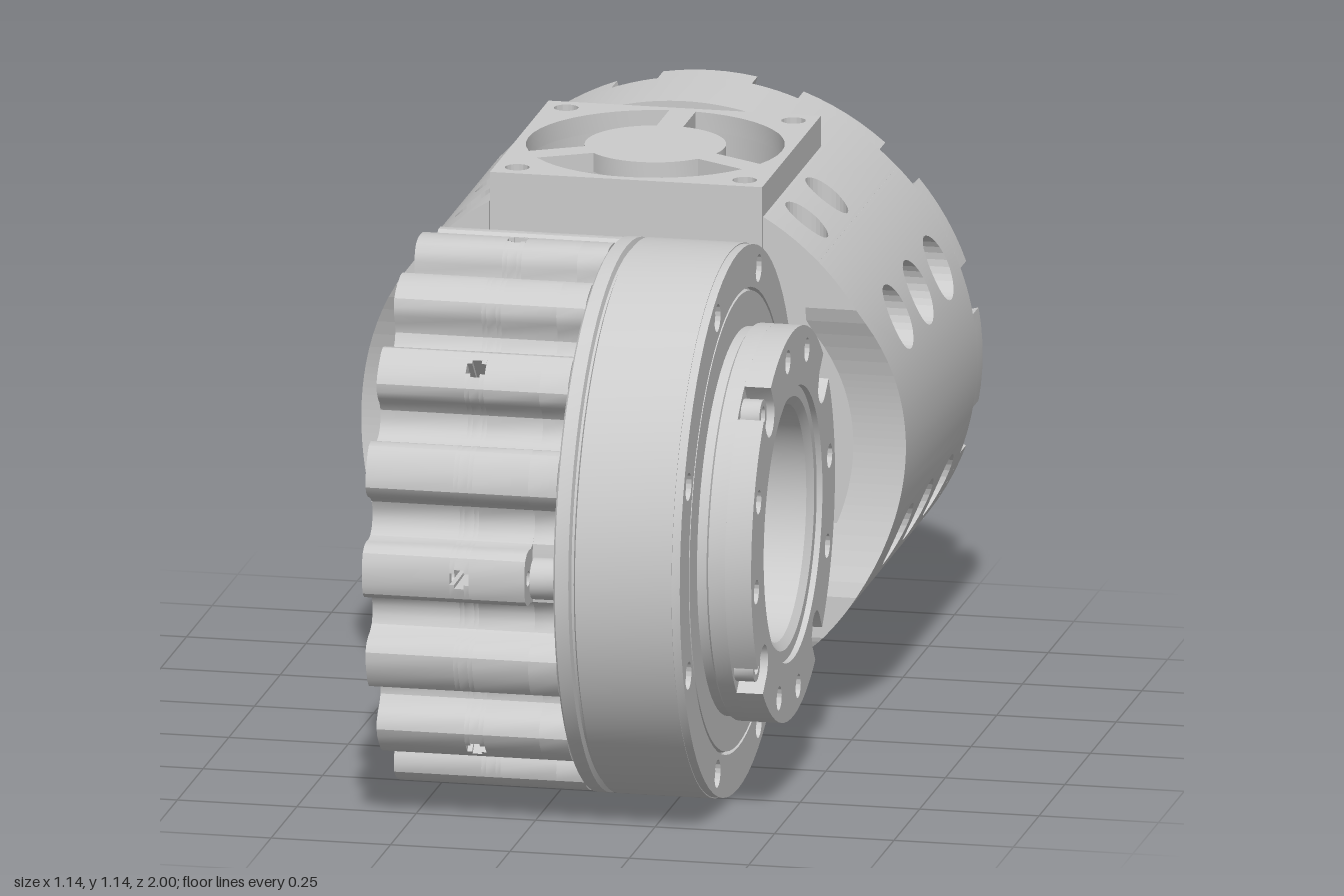
import * as THREE from 'three';
import { mergeGeometries, toCreasedNormals } from 'three/addons/utils/BufferGeometryUtils.js';

const mat = new THREE.MeshStandardMaterial({ color: 0xcccccc, side: THREE.DoubleSide });
const rad = THREE.MathUtils.degToRad;
const polar = (r, deg) => new THREE.Vector2(r * Math.cos(rad(deg)), r * Math.sin(rad(deg)));

function add(parent, name, geo) {
  const m = new THREE.Mesh(geo, mat);
  m.name = name;
  parent.add(m);
  return m;
}
const creased = (geo) => toCreasedNormals(geo, 0.5);

// Solid of revolution about local z; points are [radius, z]
function turned(pts, seg = 72) {
  const g = new THREE.LatheGeometry(pts.map(p => new THREE.Vector2(...p)), seg);
  return creased(g.rotateX(Math.PI / 2));
}
function plate(shape, z0, z1) {
  const g = new THREE.ExtrudeGeometry(shape, { depth: z1 - z0, bevelEnabled: false, curveSegments: 36 });
  return creased(g.translate(0, 0, z0));
}
function hole(shape, x, y, r) {
  shape.holes.push(new THREE.Path().absarc(x, y, r, 0, Math.PI * 2, true));
}
// Socket-head screws on a circle
function screws(parent, name, count, start, circle, r, z, h) {
  for (let i = 0; i < count; i++) {
    const p = polar(circle, start + i * 360 / count);
    const g = turned([[r, 0], [r, h], [r * 0.6, h], [r * 0.55, h * 0.3], [0, h * 0.3]], 16);
    add(parent, name, g).position.set(p.x, p.y, z);
  }
}
// Disc with U-shaped notches open to its rim
function notchedDisc(R, count, start, rc, w) {
  const pts = [], step = 360 / count, rim = Math.sqrt(R * R - w * w);
  const half = THREE.MathUtils.radToDeg(Math.asin(w / R));
  for (let i = 0; i < count; i++) {
    const a = start + i * step;
    const local = [[rim, -w]];
    for (let j = 0; j <= 8; j++) {
      const t = Math.PI * j / 8;
      local.push([rc - w * Math.sin(t), -w * Math.cos(t)]);
    }
    local.push([rim, w]);
    local.forEach(([x, y]) => pts.push(new THREE.Vector2(x, y).rotateAround(new THREE.Vector2(), rad(a))));
    const n = Math.ceil(step / 5);
    for (let j = 1; j < n; j++) pts.push(polar(R, a + half + (step - 2 * half) * j / n));
  }
  return new THREE.Shape(pts);
}

// Sixteen-lobed contour of the finned sleeve
const LOBE = [[-11.25, 0.475], [-9, 0.479], [-7.2, 0.491], [-6.4, 0.51], [-6.3, 0.53], [-5.7, 0.549], [-4.4, 0.563],
  [-2.5, 0.569], [0, 0.57], [2.5, 0.569], [4.4, 0.563], [5.7, 0.549], [6.3, 0.53], [6.4, 0.51], [7.2, 0.491], [9, 0.479]];
const BORE = 0.445;
function lobePoints(skip = -1) {
  const out = [];
  for (let k = 0; k < 16; k++)
    for (const [d, r] of LOBE) out.push([k * 22.5 + d, k === skip ? Math.min(r, 0.49) : r]);
  return out;
}
function sleeveShape(skip) {
  const s = new THREE.Shape(lobePoints(skip).map(([a, r]) => polar(r, a)));
  hole(s, 0, 0, BORE);
  for (let k = 0; k < 16; k++) {
    const p = polar(0.533, k * 22.5);
    if (k !== skip) hole(s, p.x, p.y, 0.016);
  }
  return s;
}
// Part of the sleeve between two radial holes of the given half angle
function sleeveSector(k, half) {
  const a0 = 45 * k + half, a1 = 45 * (k + 1) - half;
  const pts = [polar(0.57, a0)];
  lobePoints().forEach(([a, r]) => { if (a > a0 && a < a1) pts.push(polar(r, a)); });
  pts.push(polar(0.57, a1));
  for (let j = 0; j <= 10; j++) pts.push(polar(BORE, a1 + (a0 - a1) * j / 10));
  return new THREE.Shape(pts);
}

function buildDrum() {
  const g = new THREE.Group();
  g.name = 'frontDrum';
  g.position.set(0, 0.57, 0.43);
  g.rotation.y = Math.PI / 2;
  add(g, 'finnedSleeve', plate(sleeveShape(), -0.31, -0.127));
  for (const [z0, z1, half] of [[-0.127, -0.117, 1.2], [-0.117, -0.097, 2], [-0.097, -0.087, 1.2]])
    for (let k = 0; k < 8; k++) add(g, 'finnedSleeveSector', plate(sleeveSector(k, half), z0, z1));
  add(g, 'finnedSleeve', plate(sleeveShape(), -0.087, 0.03));
  add(g, 'finnedSleeveEnd', plate(sleeveShape(8), 0.03, 0.09));
  // cable plug in the shortened lobe
  const plug = add(g, 'cablePlug', turned([[0.043, 0.04], [0.043, 0.09], [0, 0.09], [0, 0.04], [0.043, 0.04]], 24));
  plug.position.x = -0.525;
  add(g, 'drumBody', turned([[0.245, 0.06], [BORE, 0.06], [BORE, 0.09], [0.565, 0.09], [0.57, 0.094], [0.57, 0.122],
    [0.558, 0.126], [0.558, 0.131], [0.57, 0.136], [0.57, 0.338], [0.482, 0.338], [0.479, 0.338],
    [0.476, 0.338], [0.473, 0.355], [0.4, 0.355], [0.4, 0.375], [0.408, 0.38], [0.408, 0.415], [0.287, 0.415],
    [0.287, 0.458], [0.262, 0.458], [0.245, 0.445], [0.245, 0.06]], 72));
  // face ring with sunk screws
  const face = new THREE.Shape().absarc(0, 0, 0.568, 0, Math.PI * 2);
  hole(face, 0, 0, 0.48);
  for (let i = 0; i < 8; i++) {
    const p = polar(0.523, 22.5 + 45 * i);
    hole(face, p.x, p.y, 0.029);
  }
  add(g, 'faceRing', plate(face, 0.338, 0.355));
  screws(g, 'ringScrew', 8, 22.5, 0.523, 0.02, 0.336, 0.01);
  // output hub with four notches and eight holes
  const hub = notchedDisc(0.408, 4, 38, 0.362, 0.042);
  hole(hub, 0, 0, 0.286);
  for (let i = 0; i < 12; i++) {
    const p = polar(0.36, 8 + 30 * i);
    if (i % 3 !== 1) hole(hub, p.x, p.y, 0.025);
  }
  add(g, 'outputHub', plate(hub, 0.415, 0.47));
  screws(g, 'hubScrew', 4, 38, 0.362, 0.036, 0.41, 0.045);
  for (const start of [8, 68]) screws(g, 'hubHoleScrew', 4, start, 0.36, 0.017, 0.41, 0.025);
  return g;
}

// Front edge of the housing: saddle around the drum and a sloped underside
function frontEdge(y) {
  const d = y - 0.57;
  const saddle = Math.abs(d) < 0.63 ? 0.43 - Math.sqrt(0.633 ** 2 - d * d) : 0;
  return Math.min(-0.13, saddle, -0.13 - (0.17 - y));
}
// Strip of cylindrical wall with straight-bored holes; side 0..3 = left, top, right, bottom
function wallStrip(side, u0, u1, z0, z1, Ro, Ri, holes = [], r = 0) {
  const pts = [], n = 5;
  for (let j = 0; j <= n; j++) pts.push(new THREE.Vector2(u0 + (u1 - u0) * j / n, z0));
  for (let j = n; j >= 0; j--) pts.push(new THREE.Vector2(u0 + (u1 - u0) * j / n, z1));
  const s = new THREE.Shape(pts);
  holes.forEach(([u, z]) => hole(s, u, z, r));
  const g = new THREE.ExtrudeGeometry(s, { depth: 1, bevelEnabled: false, curveSegments: 14 });
  const p = g.attributes.position, n0 = g.attributes.normal.clone();
  const c = Math.round(Math.cos(side * Math.PI / 2)), q = Math.round(Math.sin(side * Math.PI / 2));
  const flat = side % 2 ? 0.345 : 0.375; // half height and corner half width of the cavity
  for (let i = 0; i < p.count; i++) {
    const u = p.getX(i), w = p.getY(i), R = p.getZ(i) > 0.5 ? Ro : Ri;
    const h = Math.max(flat, Math.sqrt(Math.max(0, R * R - u * u)));
    const x = h * c - u * q, y = 0.57 + h * q + u * c;
    p.setXYZ(i, x, y, w > -0.131 ? frontEdge(y) : w);
  }
  g.computeVertexNormals();
  for (let i = 0; i < p.count; i++)
    if (n0.getZ(i) > 0.5) g.attributes.normal.setXYZ(i, p.getX(i) / Ro, (p.getY(i) - 0.57) / Ro, 0);
  return g;
}

function buildHousing() {
  const g = new THREE.Group();
  g.name = 'rearHousing';
  const R = 0.57, M = 0.52, E = 0.403, F = -0.13, B = -0.895, W = 0.287;
  const wall = [];
  const layered = (side, a, b, z0, z1, holes = [], r1, r2) => {
    const inner = side % 2 ? 0.345 : 0.46;
    wall.push(wallStrip(side, a, b, z0, z1, R, M, holes, r1), wallStrip(side, a, b, z0, z1, M, inner, holes, r2));
  };
  // side walls with counterbored cross holes
  const cuts = [-E, -0.355, -0.305, -0.155, -0.08, 0, 0.08, 0.155, 0.305, 0.355, E];
  for (const side of [0, 2])
    for (let i = 0; i < 10; i++) {
      const u = i === 2 ? -0.23 : 0.23;
      const holes = i === 2 || i === 7 ? [-0.37, -0.565, -0.76].map(z => [u, z]) : [];
      layered(side, cuts[i], cuts[i + 1], B, F, holes, 0.065, 0.034);
    }
  // top and bottom shoulders with vertical holes, and the rear band
  for (const side of [1, 3]) {
    for (const s of [-1, 1]) {
      const [a, b] = s < 0 ? [-E, -W] : [W, E];
      layered(side, a, b, B, F, [[s * 0.346, -0.28], [s * 0.346, -0.475]], 0.044, 0.024);
    }
    for (let i = 0; i < 8; i++) layered(side, -W + W * i / 4, -W + W * (i + 1) / 4, B, -0.7);
  }
  // cooling fins along the underside
  for (let i = 0; i < 19; i++) {
    const a = -W + 2 * W * i / 19;
    wall.push(wallStrip(3, a, a + 2 * W / 19, -0.7, F, i % 2 ? 0.505 : R, 0.345));
  }
  add(g, 'housingWall', mergeGeometries(wall));

  // rear end ring and flange, facing backwards
  const rear = new THREE.Group();
  rear.name = 'rearEnd';
  rear.position.y = 0.57;
  rear.rotation.y = Math.PI;
  const ring = notchedDisc(R, 12, 15, 0.525, 0.05);
  hole(ring, 0, 0, 0.46);
  add(rear, 'notchedRing', plate(ring, 0.895, 0.95));
  screws(rear, 'notchScrew', 12, 15, 0.522, 0.034, 0.893, 0.03);
  add(rear, 'rearFlange', turned([[0, 0.84], [0.465, 0.84], [0.465, 0.948], [0.44, 0.948], [0.44, 0.995], [0.435, 1],
    [0.395, 1], [0.385, 0.965], [0.272, 0.965], [0.268, 0.95], [0.252, 0.95], [0.248, 0.965], [0.145, 0.965],
    [0.14, 0.945], [0.105, 0.945], [0.1, 0.87], [0, 0.87]], 96));
  screws(rear, 'flangeScrew', 8, 22.5, 0.325, 0.022, 0.96, 0.008);
  screws(rear, 'innerScrew', 6, 0, 0.2, 0.015, 0.96, 0.008);
  screws(rear, 'shaftScrew', 4, 45, 0.05, 0.02, 0.865, 0.02);
  g.add(rear);
  return g;
}

function buildFan() {
  const g = new THREE.Group();
  g.name = 'coolingFan';
  g.position.set(0, 0, -0.415);
  g.rotation.x = -Math.PI / 2;
  const h = 0.285;
  const square = () => {
    const s = new THREE.Shape([[-h, -h], [h, -h], [h, h], [-h, h]].map(p => new THREE.Vector2(...p)));
    for (const x of [-1, 1]) for (const y of [-1, 1]) hole(s, x * 0.238, y * 0.238, 0.025);
    return s;
  };
  const frame = square();
  hole(frame, 0, 0, 0.268);
  add(g, 'fanFrame', plate(frame, 0.93, 1.085));
  add(g, 'fanFloor', new THREE.BoxGeometry(2 * h, 2 * h, 0.02).translate(0, 0, 0.925));
  // top grille: hub carried on three spokes, flush with the frame
  const grille = square();
  for (let i = 0; i < 3; i++) {
    const a = 90 + 120 * i, pts = [];
    for (let j = 0; j <= 14; j++) pts.push(polar(0.265, a + 6 + 108 * j / 14));
    for (let j = 14; j >= 0; j--) pts.push(polar(0.145, a + 11 + 98 * j / 14));
    grille.holes.push(new THREE.Path(pts));
  }
  add(g, 'fanGrille', plate(grille, 1.085, 1.125));
  return g;
}

export function createModel() {
  const model = new THREE.Group();
  model.name = 'rotaryJointModule';
  model.add(buildDrum(), buildHousing(), buildFan());
  return model;
}
